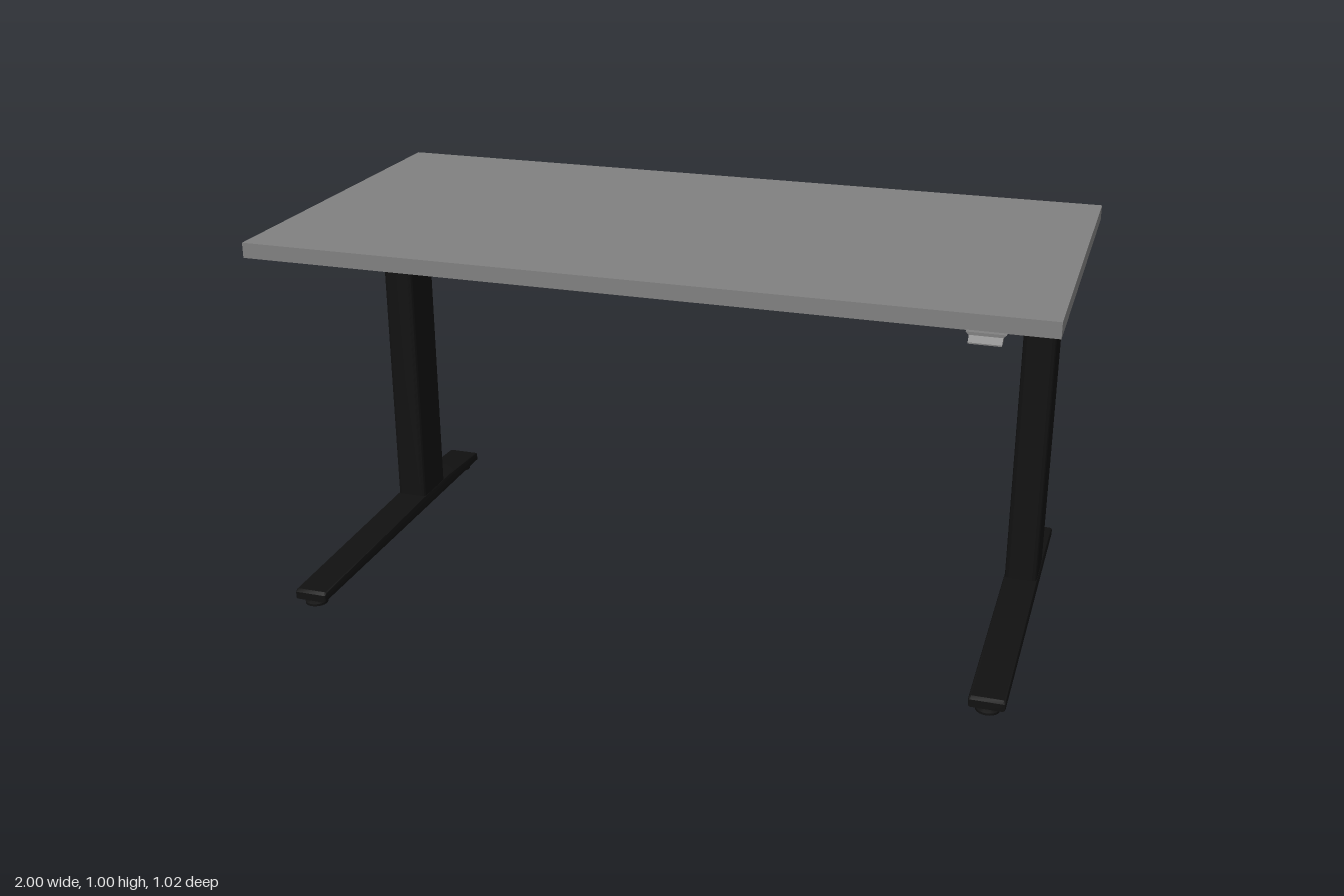
import * as THREE from 'three';
import { toCreasedNormals } from 'three/addons/utils/BufferGeometryUtils.js';

const grey = new THREE.MeshStandardMaterial({ color: 0x808080 });
const black = new THREE.MeshStandardMaterial({ color: 0x111111 });

function add(parent, name, geometry, material, x = 0, y = 0, z = 0) {
  const mesh = new THREE.Mesh(geometry, material);
  mesh.name = name;
  mesh.position.set(x, y, z);
  parent.add(mesh);
  return mesh;
}

// Closed shape from [a, b] pairs
const outline = (pts) => new THREE.Shape(pts.map(([a, b]) => new THREE.Vector2(a, b)));

// Rounded rectangle, w along x and d along z, centred
function roundedRect(w, d, r) {
  const s = new THREE.Shape();
  const a = w / 2 - r, b = d / 2 - r;
  s.absarc(a, b, r, 0, Math.PI / 2);
  s.absarc(-a, b, r, Math.PI / 2, Math.PI);
  s.absarc(-a, -b, r, Math.PI, Math.PI * 1.5);
  s.absarc(a, -b, r, Math.PI * 1.5, Math.PI * 2);
  return s;
}

// Vertical extrusion of a plan shape, base at y = 0 (shape y becomes -z)
function upright(shape, height) {
  const g = new THREE.ExtrudeGeometry(shape, { depth: height, bevelEnabled: false, curveSegments: 6 });
  return toCreasedNormals(g.rotateX(-Math.PI / 2), 0.6);
}

// Extrusion across x of a side profile given as [z, y]
function sideways(pts, width, bevel = 0) {
  const g = new THREE.ExtrudeGeometry(outline(pts), {
    depth: width - 2 * bevel, bevelEnabled: bevel > 0, bevelSize: bevel,
    bevelThickness: bevel, bevelOffset: -bevel, bevelSegments: 2,
  });
  g.translate(0, 0, -(width - 2 * bevel) / 2).rotateY(-Math.PI / 2);
  g.scale(1, 1, 1);
  return toCreasedNormals(g, 0.5);
}

function createLeg(side) {
  const leg = new THREE.Group();
  leg.name = side > 0 ? 'leftLeg' : 'rightLeg';
  leg.position.x = side * 0.9;
  const cz = -0.2;

  // Telescopic column
  add(leg, 'outerColumn', upright(roundedRect(0.085, 0.14, 0.012), 0.835), black, 0, 0.05, cz);
  add(leg, 'innerColumn', upright(roundedRect(0.07, 0.127, 0.01), 0.08), black, 0, 0.88, cz);

  // Long foot, thickest under the column
  const foot = sideways([
    [-0.51, 0.018], [0.485, 0.018], [0.485, 0.038], [0.475, 0.044],
    [-0.13, 0.057], [-0.3, 0.057], [-0.5, 0.045], [-0.51, 0.04],
  ], 0.09, 0.006);
  add(leg, 'foot', foot, black);

  // Levelling feet
  for (const z of [0.453, -0.473]) {
    const pad = new THREE.LatheGeometry([[0, 0], [0.03, 0], [0.03, 0.006], [0.012, 0.013], [0.008, 0.014], [0.008, 0.022]]
      .map(([r, y]) => new THREE.Vector2(r, y)), 20);
    add(leg, 'levellingFoot', toCreasedNormals(pad, 0.5), black, 0, 0, z);
  }

  // Support plate, tapering towards both ends
  const plate = outline([
    [-0.03, -0.205], [0.03, -0.205], [0.045, -0.19], [0.075, -0.075], [0.075, 0.075],
    [0.045, 0.19], [0.03, 0.205], [-0.03, 0.205], [-0.045, 0.19], [-0.075, 0.075],
    [-0.075, -0.075], [-0.045, -0.19],
  ]);
  add(leg, 'supportPlate', upright(plate, 0.009), black, 0, 0.955, cz);

  // Bracket that holds the end of the crossbeam
  add(leg, 'beamBracket', new THREE.BoxGeometry(0.035, 0.038, 0.12), black, -side * 0.05, 0.941, cz);
  return leg;
}

export function createModel() {
  const desk = new THREE.Group();
  desk.name = 'heightAdjustableDesk';

  add(desk, 'tableTop', new THREE.BoxGeometry(2, 0.039, 0.995), grey, 0, 0.9825, -0.0125);
  desk.add(createLeg(1), createLeg(-1));

  // Crossbeam: channel open downwards with inward lips
  const beam = sideways([
    [-0.25, 0.92], [-0.215, 0.92], [-0.215, 0.925], [-0.245, 0.925], [-0.245, 0.957], [-0.155, 0.957],
    [-0.155, 0.925], [-0.17, 0.925], [-0.17, 0.92], [-0.15, 0.92], [-0.15, 0.962], [-0.25, 0.962],
  ], 1.7);
  add(desk, 'crossbeam', beam, grey, -0.005);

  // Hand control under the front edge
  const control = new THREE.Group();
  control.name = 'handControl';
  control.position.x = 0.84;
  desk.add(control);
  const body = new THREE.ExtrudeGeometry(
    outline([[-0.045, 0.964], [-0.03, 0.949], [0.03, 0.949], [0.045, 0.964]]),
    { depth: 0.06, bevelEnabled: false });
  add(control, 'controlBody', body, grey, 0, 0, 0.438);
  add(control, 'controlPaddle', sideways(
    [[0.485, 0.949], [0.511, 0.941], [0.511, 0.944], [0.492, 0.963], [0.485, 0.963]], 0.075), grey);
  return desk;
}
